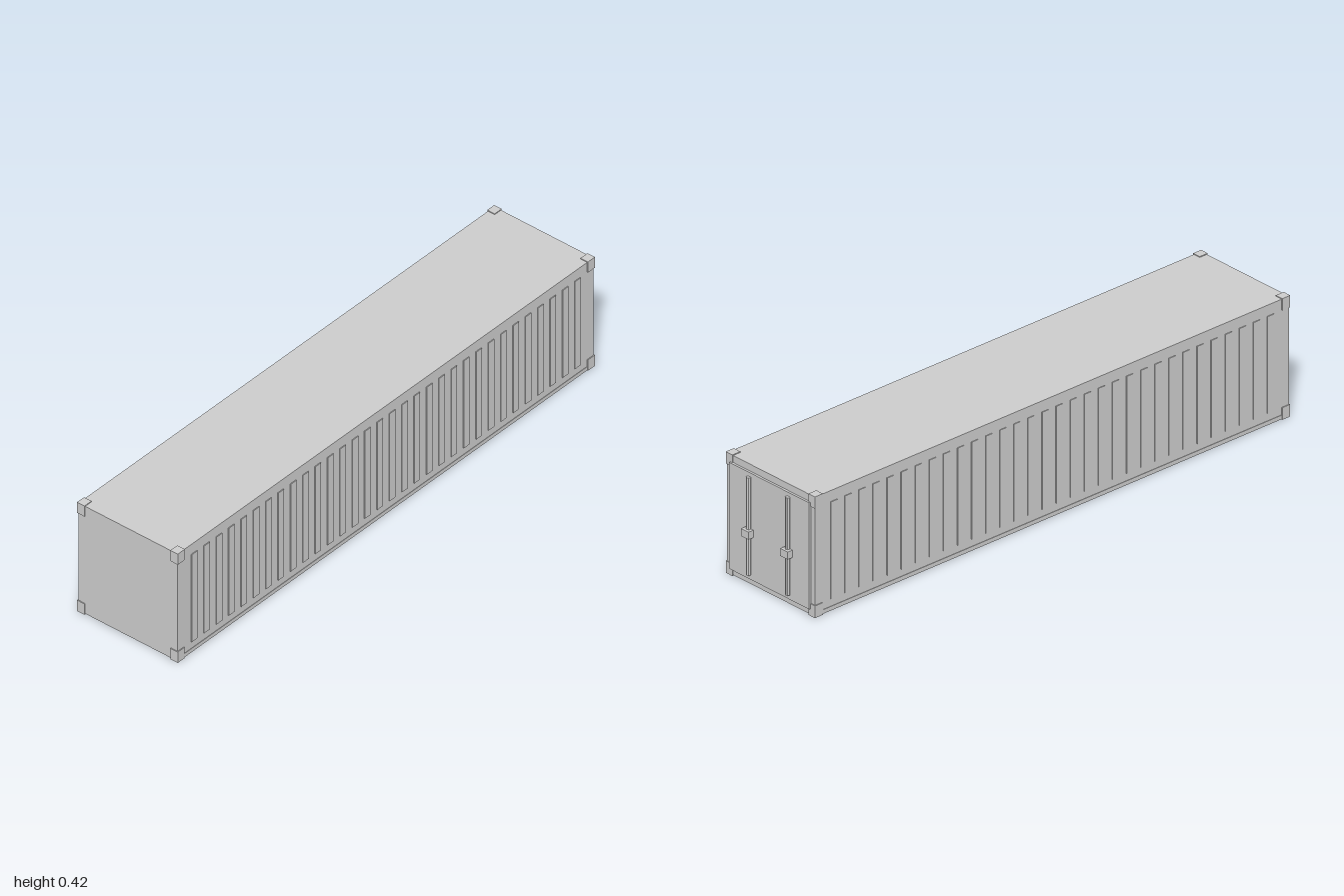
import * as THREE from 'three';

export function createModel() {
  const root = new THREE.Group();
  root.name = 'shippingContainer';
  const material = new THREE.MeshStandardMaterial({ color: 0xcccccc, flatShading: true });

  // Box given by its minimum and maximum along each axis
  function box(name, [x0, x1], [y0, y1], [z0, z1], parent = root) {
    const mesh = new THREE.Mesh(new THREE.BoxGeometry(x1 - x0, y1 - y0, z1 - z0), material);
    mesh.position.set((x0 + x1) / 2, (y0 + y1) / 2, (z0 + z1) / 2);
    mesh.name = name;
    parent.add(mesh);
    return mesh;
  }

  // Main shell
  box('body', [-0.997, 0.972], [0.003, 0.417], [-0.2, 0.2]);

  // Corner fittings at all eight corners
  const fittings = new THREE.Group();
  fittings.name = 'cornerFittings';
  root.add(fittings);
  for (const x of [[-1, -0.967], [0.942, 0.975]]) {
    for (const y of [[0, 0.042], [0.379, 0.42]]) {
      for (const z of [[-0.203, -0.173], [0.173, 0.203]]) {
        box('cornerFitting', x, y, z, fittings);
      }
    }
  }

  // Long rails and vertical ribs on both sides
  const ribCount = 32;
  for (const side of [-1, 1]) {
    const wall = new THREE.Group();
    wall.name = side > 0 ? 'frontWall' : 'backWall';
    root.add(wall);
    const depth = side > 0 ? [0.195, 0.2015] : [-0.2015, -0.195];
    box('bottomRail', [-0.967, 0.942], [0.002, 0.016], depth, wall);
    const ribDepth = side > 0 ? [0.195, 0.203] : [-0.203, -0.195];
    for (let i = 0; i < ribCount; i++) {
      const x = -0.92 + (i * 1.815) / (ribCount - 1);
      box('rib', [x - 0.0135, x + 0.0135], [0.042, 0.379], ribDepth, wall);
    }
  }

  // Door panel with two locking bars and their handles
  box('door', [0.965, 0.98], [0.024, 0.393], [-0.182, 0.182]);
  for (const z of [-0.089, 0.089]) {
    const bar = new THREE.Mesh(new THREE.CylinderGeometry(0.008, 0.008, 0.339, 8), material);
    bar.name = 'lockingBar';
    bar.position.set(0.984, 0.21, z);
    root.add(bar);
    box('barHandle', [0.978, 1], [0.174, 0.2], [z - 0.017, z + 0.017]);
  }

  return root;
}
